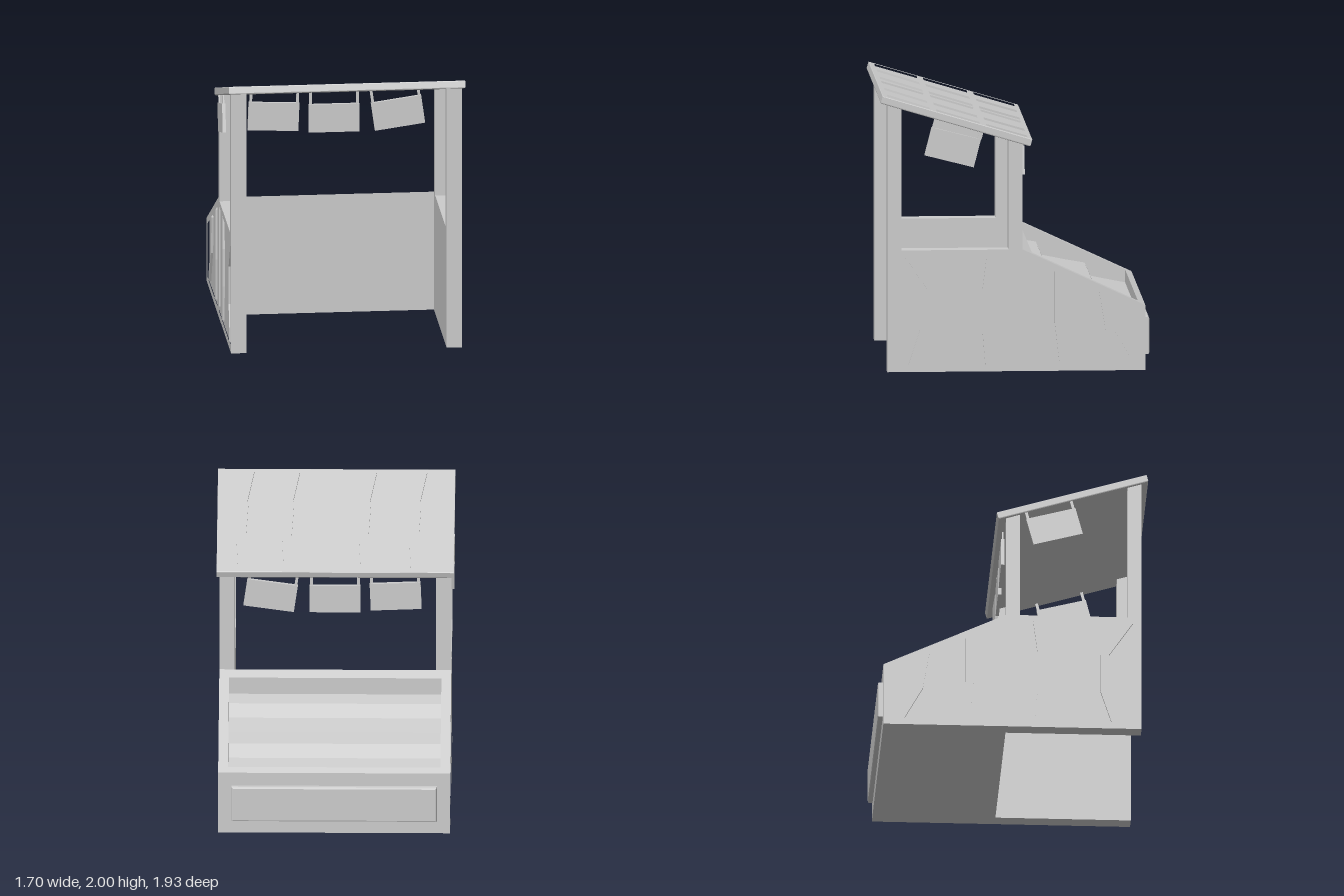
import * as THREE from 'three';

const grey = new THREE.MeshStandardMaterial({ color: 0xcccccc });

function add(parent, name, geometry) {
  const mesh = new THREE.Mesh(geometry, grey);
  mesh.name = name;
  parent.add(mesh);
  return mesh;
}

function box(parent, name, w, h, d, x, y, z) {
  const mesh = add(parent, name, new THREE.BoxGeometry(w, h, d));
  mesh.position.set(x, y, z);
  return mesh;
}

const toShape = (points) => new THREE.Shape(points.map(([a, b]) => new THREE.Vector2(a, b)));

function extrude(points, holes, depth, bevel = 0) {
  const shape = toShape(points);
  shape.holes = holes.map(toShape);
  return new THREE.ExtrudeGeometry(shape, {
    depth: depth - 2 * bevel, bevelEnabled: bevel > 0, bevelSize: bevel,
    bevelThickness: bevel, bevelOffset: -bevel, bevelSegments: 2,
  });
}

// Profile given as [z, y], extruded along x from x0 to x1
function acrossX(points, x0, x1, holes = []) {
  const flip = (list) => list.map(([z, y]) => [-z, y]);
  return extrude(flip(points), holes.map(flip), x1 - x0).rotateY(Math.PI / 2).translate(x0, 0, 0);
}

// Plan given as [x, z], extruded upwards from y0 to y1
function upwards(points, y0, y1, holes = [], bevel = 0) {
  const flip = (list) => list.map(([x, z]) => [x, -z]);
  return extrude(flip(points), holes.map(flip), y1 - y0, bevel)
    .rotateX(-Math.PI / 2).translate(0, y0 + bevel, 0);
}

// Bent strip around a centre line, with its width along the first axis
function strip(line, width) {
  return [
    ...line.map(([a, b]) => [a - width / 2, b]),
    ...line.map(([a, b]) => [a + width / 2, b]).reverse(),
  ];
}

const rect = (a0, b0, a1, b1) => [[a0, b0], [a1, b0], [a1, b1], [a0, b1]];

function sideWall(side) {
  const group = new THREE.Group();
  group.name = side > 0 ? 'leftSide' : 'rightSide';
  const span = (inner, outer) => (side > 0 ? [inner, outer] : [-outer, -inner]);

  // Low wall with the two roof posts
  const wall = [[0.92, 0], [0.92, 1.94], [0.82, 1.91], [0.82, 0.88], [0.05, 0.88],
    [0.05, 1.68], [-0.05, 1.65], [-0.05, 0]];
  add(group, 'wallAndPosts', acrossX(wall, ...span(0.72, 0.81)));

  // Sloping cheek of the counter
  const cheek = [[-0.05, 0], [-0.05, 0.88], [-0.93, 0.47], [-0.93, 0]];
  add(group, 'counterCheek', acrossX(cheek, ...span(0.76, 0.81)));

  // Raised frame around two recessed fields
  const outline = [...wall.slice(0, 7), [-0.05, 0.88], [-0.93, 0.47], [-0.93, 0]];
  const fields = [
    rect(0, 0.05, 0.87, 0.83),
    [[-0.1, 0.05], [-0.1, 0.8], [-0.88, 0.44], [-0.88, 0.05]],
  ];
  add(group, 'sideFrame', acrossX(outline, ...span(0.81, 0.83), fields));

  // Bent battens in the fields
  const battens = [
    [[0.83, 0.84], [0.655, 0.58], [0.655, 0.3], [0.74, 0.04]],
    [[0.175, 0.84], [0.207, 0.58], [0.207, 0.3], [0.185, 0.04]],
    [[-0.312, 0.72], [-0.312, 0.35], [-0.348, 0.04]],
    [[-0.63, 0.57], [-0.678, 0.29], [-0.818, 0.04]],
  ];
  for (const line of battens) {
    add(group, 'sideBatten', acrossX(strip(line, 0.062), ...span(0.81, 0.826)));
  }
  return group;
}

function counter() {
  const group = new THREE.Group();
  group.name = 'counter';
  // Stepped trays sunk below a sloping rim
  const profile = [
    [-0.05, 0], [-0.05, 0.88], [-0.12, 0.847], [-0.12, 0.72],
    [-0.24, 0.70], [-0.28, 0.605], [-0.45, 0.57],
    [-0.59, 0.545], [-0.63, 0.45], [-0.80, 0.415],
    [-0.88, 0.40], [-0.88, 0.493], [-0.93, 0.47], [-0.93, 0],
  ];
  add(group, 'trays', acrossX(profile, -0.76, 0.76));
  const panel = add(group, 'backPanel', extrude(rect(-0.735, 0.1, 0.735, 0.37), [], 0.05, 0.012));
  panel.position.z = -0.965 + 0.012;
  return group;
}

function roof() {
  const group = new THREE.Group();
  group.name = 'roof';
  const L = 0.56;
  const W = 0.85;
  add(group, 'roofBoard', upwards(rect(-W, -L, W, L), -0.0275, 0.01, [], 0.008));

  // Raised grid of six fields
  const rows = [[-0.529, -0.216], [-0.174, 0.16], [0.2, 0.525]];
  const cells = [];
  for (const [z0, z1] of rows) {
    cells.push(rect(-0.82, z0, -0.017, z1), rect(0.017, z0, 0.82, z1));
  }
  add(group, 'roofGrid', upwards(rect(-W, -L, W, L), -0.005, 0.0275, cells, 0.004));

  // Slanted battens, one per row in each of four lines
  const shifts = [[0, 0.015], [0.015, 0], [0.01, -0.04]];
  for (const x of [-0.575, -0.215, 0.335, 0.662]) {
    rows.forEach(([z0, z1], i) => {
      const line = [[x + shifts[i][0], z0 - 0.01], [x + shifts[i][1], z1 + 0.01]];
      add(group, 'roofBatten', upwards(strip(line, 0.066), 0.005, 0.024));
    });
  }
  group.position.set(0, 1.813, 0.425);
  group.rotation.x = -0.2906;
  return group;
}

// Blank board hung on two straps
function hangingSign([x, y, z], yaw, tilt, strapLengths) {
  const group = new THREE.Group();
  group.name = 'hangingSign';
  box(group, 'signBoard', 0.365, 0.208, 0.024, 0, 0, 0);
  strapLengths.forEach((length, i) => {
    box(group, 'strap', 0.02, length + 0.03, 0.01, i ? 0.168 : -0.168, 0.104 + (length - 0.03) / 2, 0);
  });
  group.position.set(x, y, z);
  group.rotation.set(0, yaw, tilt);
  return group;
}

export function createModel() {
  const model = new THREE.Group();
  model.name = 'marketStall';
  model.add(sideWall(1), sideWall(-1), counter(), roof());
  model.add(
    hangingSign([-0.432, 1.47, -0.064], 0, -0.04, [0.065, 0.08]),
    hangingSign([0.003, 1.448, -0.064], 0, 0, [0.09, 0.09]),
    hangingSign([0.463, 1.473, -0.064], 0, 0.14, [0.09, 0.045]),
    hangingSign([0.8, 1.62, 0.45], Math.PI / 2, -0.25, [0.075, 0.075]),
    hangingSign([-0.838, 1.578, 0.295], Math.PI / 2, -0.26, [0.07, 0.07]),
  );
  return model;
}
